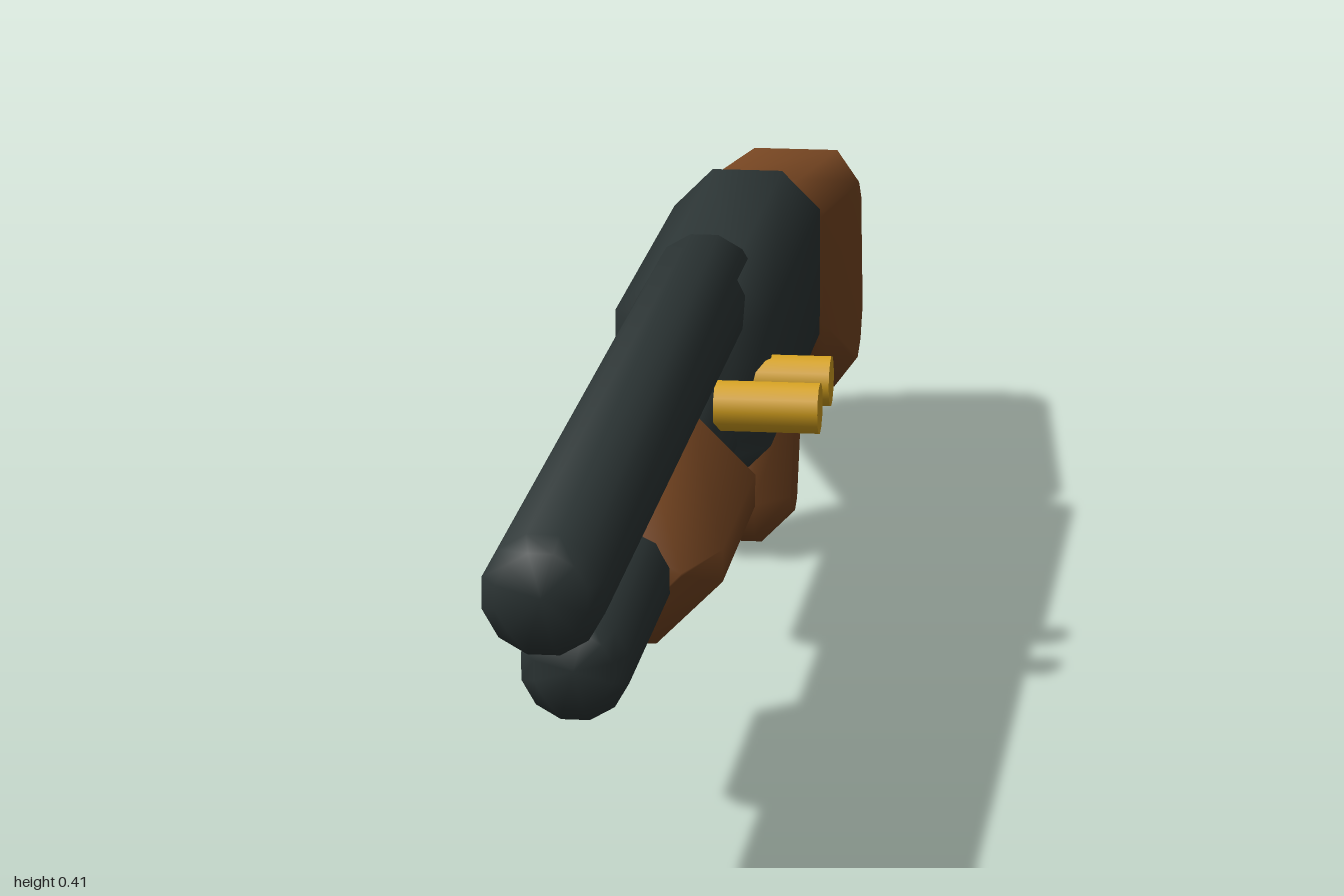
import * as THREE from 'three';
import { mergeVertices, toCreasedNormals } from 'three/addons/utils/BufferGeometryUtils.js';

const AXIS_X = -0.023; // the body's centre plane

// Weld a geometry and give it soft, area-weighted normals
function soften(geometry) {
  geometry.deleteAttribute('uv');
  geometry.deleteAttribute('normal');
  const welded = mergeVertices(geometry, 1e-4);
  welded.computeVertexNormals();
  return welded;
}

// Chamfered slab: the outline is the widest section, bevels cut inward
function bevelled(points, width, size, thickness) {
  const shape = new THREE.Shape(points.map(([x, y]) => new THREE.Vector2(x, y)));
  const depth = width - 2 * thickness;
  const geometry = new THREE.ExtrudeGeometry(shape, {
    depth, bevelEnabled: true, bevelSegments: 1,
    bevelSize: size, bevelOffset: -size, bevelThickness: thickness,
  });
  geometry.translate(0, 0, -depth / 2);
  return soften(geometry);
}

// Rectangle with cut corners
function octagon(halfW, halfH, cut) {
  return [
    [halfW - cut, -halfH], [halfW, -halfH + cut], [halfW, halfH - cut], [halfW - cut, halfH],
    [-halfW + cut, halfH], [-halfW, halfH - cut], [-halfW, -halfH + cut], [-halfW + cut, -halfH],
  ];
}

// Twelve-sided rod along z with chamfered ends
function rod(radius, back, front) {
  const c = 0.013;
  const profile = [[0, back], [radius - c, back], [radius, back + c],
    [radius, front - c], [radius - c, front], [0, front]].map(([r, y]) => new THREE.Vector2(r, y));
  const geometry = new THREE.LatheGeometry(profile, 12, Math.PI / 12);
  geometry.rotateX(Math.PI / 2);
  return toCreasedNormals(geometry, 0.9);
}

export function createModel() {
  const group = new THREE.Group();
  const metal = new THREE.MeshStandardMaterial({ name: 'dark metal', color: 0x2d3636 });
  const wood = new THREE.MeshStandardMaterial({ name: 'brown wood', color: 0x7a4823 });
  const brass = new THREE.MeshStandardMaterial({ name: 'brass', color: 0xdaa520 });

  const add = (name, geometry, material, x, y, z) => {
    const mesh = new THREE.Mesh(geometry, material);
    mesh.name = name;
    mesh.position.set(x, y, z);
    group.add(mesh);
    return mesh;
  };

  // Barrel and the magazine tube under it
  add('barrel', rod(0.053, -0.11, 1), metal, AXIS_X, 0.357, 0);
  add('magazineTube', rod(0.048, -0.05, 0.82), metal, AXIS_X, 0.24, 0);

  // Receiver and sliding fore-end: cut-corner sections running along z
  add('receiver', bevelled(octagon(0.076, 0.106, 0.04), 0.52, 0.03, 0.033), metal, AXIS_X, 0.286, -0.235);
  add('foreEnd', bevelled(octagon(0.09, 0.075, 0.06), 0.325, 0.033, 0.035), wood, AXIS_X, 0.246, 0.375);

  // Shoulder stock and grip: side outlines in (z, y), thickened along x
  const stockOutline = [
    [-0.49, 0.23], [-0.5, 0.19], [-0.865, 0.055], [-0.915, 0.046], [-0.965, 0.068],
    [-1, 0.12], [-0.972, 0.275], [-0.93, 0.312], [-0.53, 0.368], [-0.49, 0.355],
  ];
  const gripOutline = [
    [-0.42, 0.2], [-0.55, 0.2], [-0.483, 0.018], [-0.437, 0], [-0.373, 0.024], [-0.355, 0.062],
  ];
  const side = (points, width, size, thickness) =>
    bevelled(points, width, size, thickness).rotateY(-Math.PI / 2);
  add('stock', side(stockOutline, 0.144, 0.034, 0.026), wood, AXIS_X, 0, 0);
  add('grip', side(gripOutline, 0.107, 0.033, 0.035), wood, AXIS_X, 0, 0);

  // Two spare shells sticking out of the model's left side
  for (const z of [-0.015, 0.09]) {
    const shell = new THREE.CylinderGeometry(0.025, 0.025, 0.1, 12);
    shell.rotateZ(-Math.PI / 2);
    add('shell', shell, brass, 0.061, 0.285, z);
  }
  return group;
}
